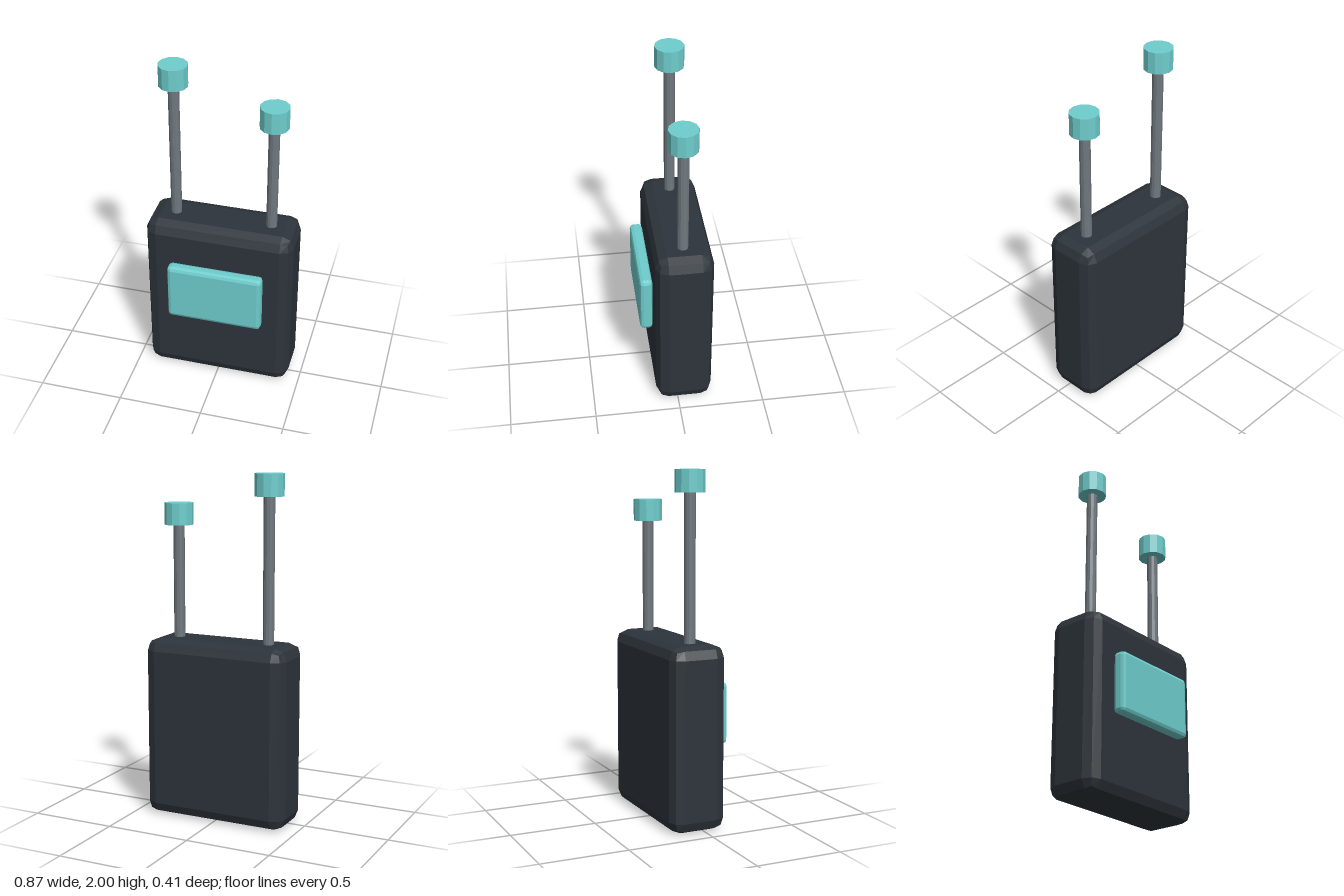
import * as THREE from 'three';
import { RoundedBoxGeometry } from 'three/addons/geometries/RoundedBoxGeometry.js';

const makeMaterial = (name, color) => {
  const material = new THREE.MeshStandardMaterial({ color });
  material.name = name;
  return material;
};

// Facet a geometry so every face has its own normal
function faceted(geometry) {
  const flat = geometry.index ? geometry.toNonIndexed() : geometry;
  flat.computeVertexNormals();
  return flat;
}

export function createModel() {
  const model = new THREE.Group();
  model.name = 'handheldDevice';

  const casing = makeMaterial('dark casing', 0x2d343b);
  const teal = makeMaterial('teal', 0x6fcdcd);
  const metal = makeMaterial('grey metal', 0x70797f);

  function add(name, geometry, material, x, y, z, parent = model) {
    const mesh = new THREE.Mesh(faceted(geometry), material);
    mesh.name = name;
    mesh.position.set(x, y, z);
    parent.add(mesh);
  }

  const bodyTop = 1.05;
  const bodyZ = -0.039;

  // Casing with bevelled edges, and the raised screen in front of it
  add('body', new RoundedBoxGeometry(0.87, bodyTop, 0.33, 1, 0.07), casing, 0, bodyTop / 2, bodyZ);
  add('screen', new RoundedBoxGeometry(0.56, 0.355, 0.074, 1, 0.022), teal, 0, 0.632, 0.167);

  // Two antennas of different heights, each a rod with a cap
  for (const [name, x, top] of [['rightAntenna', -0.282, 2], ['leftAntenna', 0.282, 1.823]]) {
    const antenna = new THREE.Group();
    antenna.name = name;
    antenna.position.set(x, 0, bodyZ);
    model.add(antenna);

    const capHeight = 0.125;
    const rodBottom = bodyTop - 0.03;
    const rodHeight = top - capHeight / 2 - rodBottom;
    add('rod', new THREE.CylinderGeometry(0.032, 0.032, rodHeight, 12), metal, 0, rodBottom + rodHeight / 2, 0, antenna);
    add('cap', new THREE.CylinderGeometry(0.083, 0.083, capHeight, 12), teal, 0, top - capHeight / 2, 0, antenna);
  }

  return model;
}
